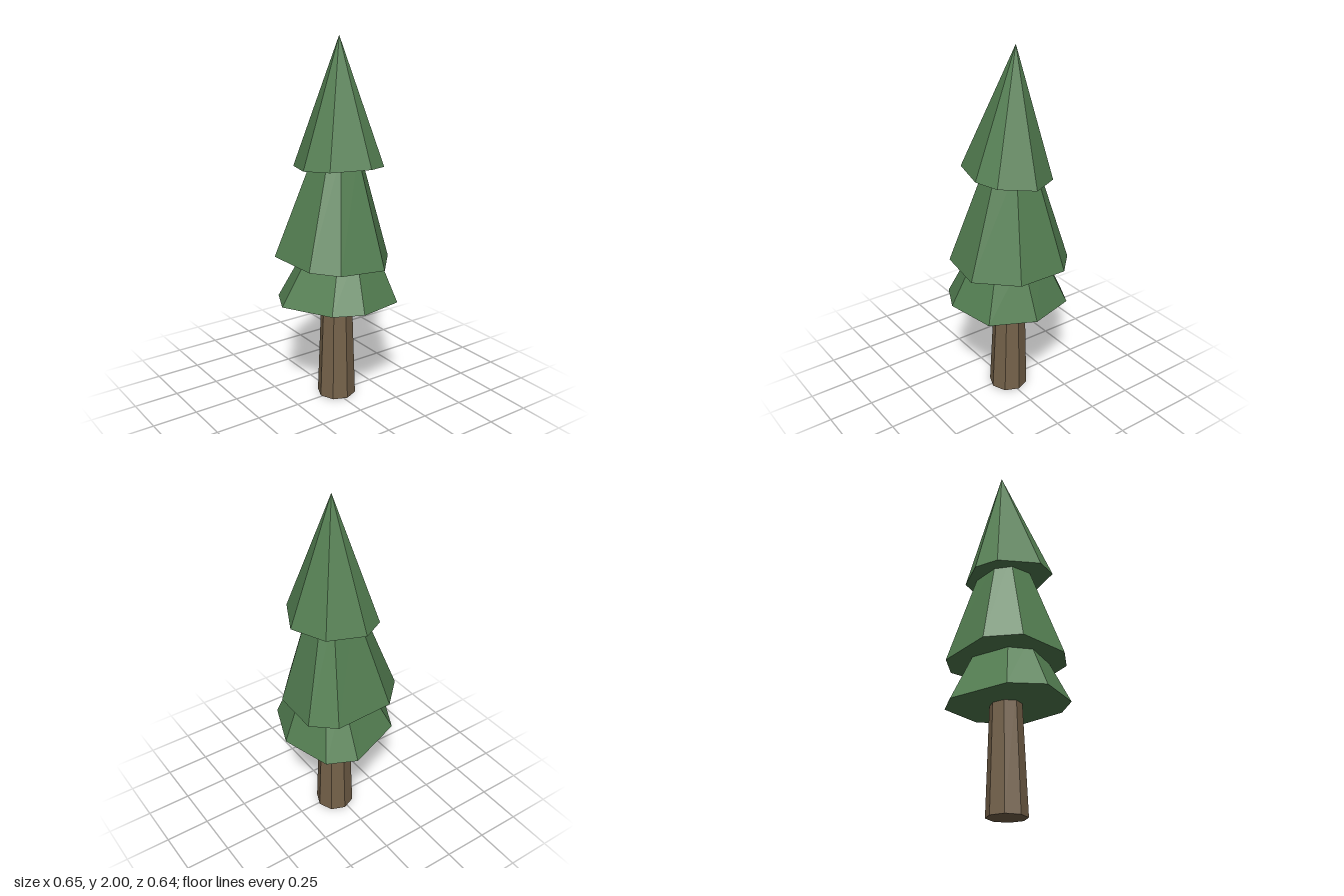
import * as THREE from 'three';

const leaf = new THREE.MeshStandardMaterial({ color: 0x547f52, flatShading: true });
const bark = new THREE.MeshStandardMaterial({ color: 0x75624a, flatShading: true });

// Closed solid between two rings of corners; a one-point upper ring makes a tip.
function loft(name, lower, upper, material) {
  const tris = [];
  const n = lower.length;
  const top = i => upper[i % upper.length];
  const centre = ring => ring
    .reduce((s, p) => s.map((v, k) => v + p[k]), [0, 0, 0])
    .map(v => v / ring.length);
  const low = centre(lower);
  const high = centre(upper);
  for (let i = 0; i < n; i++) {
    const j = (i + 1) % n;
    tris.push(lower[j], lower[i], top(i));
    tris.push(lower[i], lower[j], low);
    if (upper.length > 1) {
      tris.push(lower[j], top(i), top(j));
      tris.push(top(j), top(i), high);
    }
  }
  const geometry = new THREE.BufferGeometry();
  geometry.setAttribute('position', new THREE.Float32BufferAttribute(tris.flat(), 3));
  geometry.computeVertexNormals();
  const mesh = new THREE.Mesh(geometry, material);
  mesh.name = name;
  return mesh;
}

// Uneven eight-sided rims as [x, z], each lying in a tilted plane y = h + a*x + b*z.
// scale shrinks the rim around the centre to make the top of the tier.
const tiers = [
  {
    name: 'lowerBranches', plane: [0.585, 0.05, 0.03], top: [0.015, 0.9, -0.025], scale: 0.54,
    rim: [[0.02, -0.325], [0.265, -0.23], [0.325, 0.035], [0.25, 0.19],
      [-0.03, 0.32], [-0.215, 0.23], [-0.325, -0.085], [-0.25, -0.24]],
  },
  {
    name: 'middleBranches', plane: [0.82, -0.02, 0.05], top: [-0.01, 1.4, -0.03], scale: 0.39,
    rim: [[-0.175, -0.3], [0.1, -0.29], [0.295, -0.115], [0.265, 0.145],
      [0.145, 0.26], [-0.155, 0.285], [-0.295, 0.14], [-0.29, -0.185]],
  },
  {
    name: 'topBranches', plane: [1.325, 0.1, 0.04], top: [-0.03, 2, -0.05], scale: 0,
    rim: [[0, -0.28], [0.18, -0.19], [0.23, -0.07], [0.175, 0.15],
      [0.03, 0.215], [-0.2, 0.13], [-0.255, 0.01], [-0.175, -0.185]],
  },
];

// Regular ring of eight corners for the trunk.
function ring(x, y, z, r) {
  return Array.from({ length: 8 }, (_, i) => {
    const a = i * Math.PI / 4;
    return [x + r * Math.cos(a), y, z + r * Math.sin(a)];
  });
}

export function createModel() {
  const tree = new THREE.Group();
  tree.name = 'pineTree';

  // Tapered trunk, ending inside the lowest tier
  tree.add(loft('trunk', ring(-0.01, 0, -0.02, 0.108), ring(-0.015, 0.64, -0.025, 0.084), bark));

  // Three stacked tiers of branches
  for (const { name, plane: [h, a, b], top, scale, rim } of tiers) {
    const lower = rim.map(([x, z]) => [x, h + a * x + b * z, z]);
    const upper = scale
      ? rim.map(([x, z]) => [top[0] + x * scale, top[1], top[2] + z * scale])
      : [top];
    tree.add(loft(name, lower, upper, leaf));
  }
  return tree;
}
